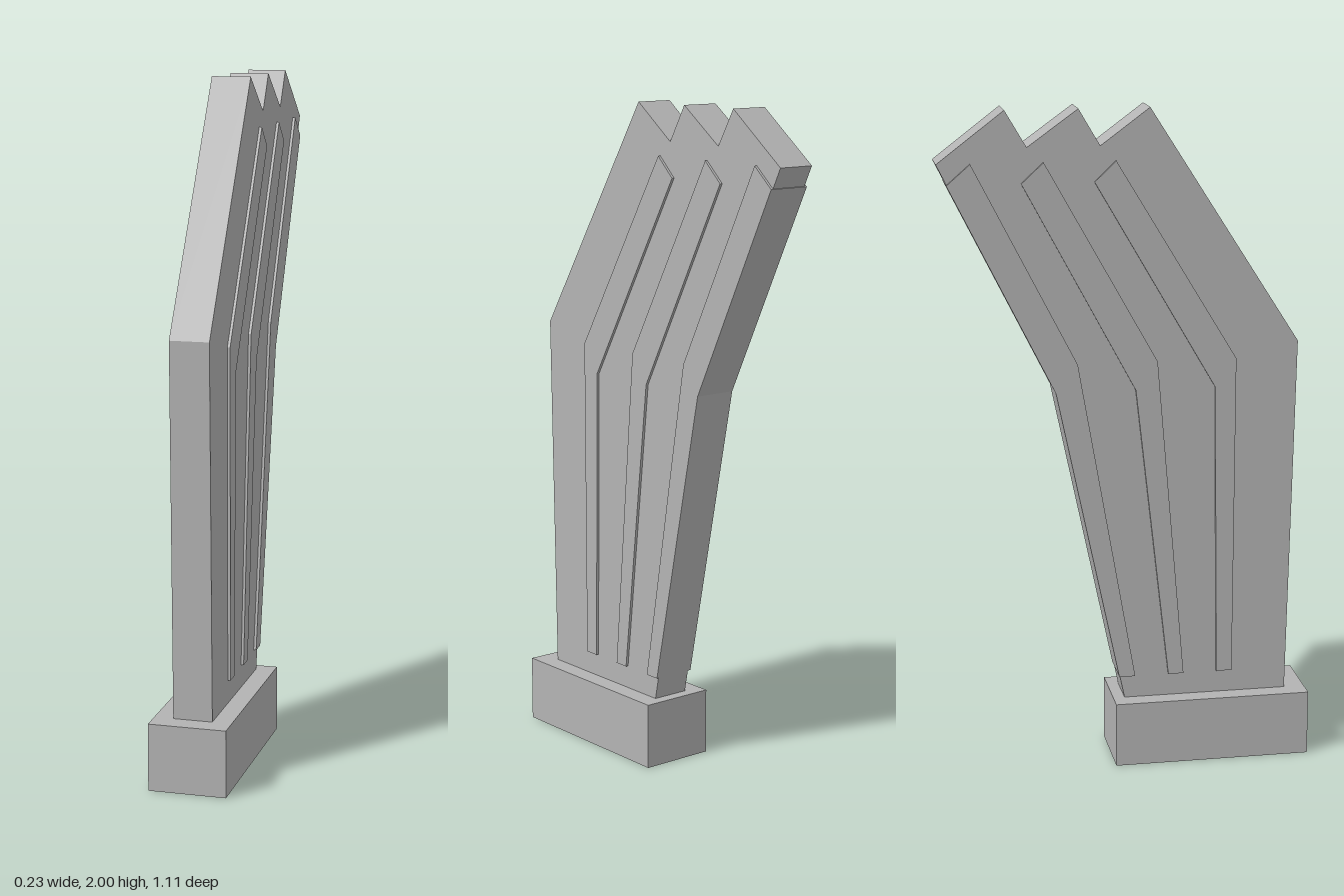
import * as THREE from 'three';

// Extrude a side outline of [z, y] points to a slab centred on x = 0
function slab(name, points, width, material) {
  const shape = new THREE.Shape(points.map(([z, y]) => new THREE.Vector2(z, y)));
  const geometry = new THREE.ExtrudeGeometry(shape, { depth: width, bevelEnabled: false });
  geometry.translate(0, 0, -width / 2);
  geometry.rotateY(-Math.PI / 2);
  const mesh = new THREE.Mesh(geometry, material);
  mesh.name = name;
  return mesh;
}

export function createModel() {
  const model = new THREE.Group();
  model.name = 'bentFinnedSlab';
  const grey = new THREE.MeshStandardMaterial({ color: 0xb3b3b3 });
  grey.name = 'grey';

  // Base block
  const base = new THREE.Mesh(new THREE.BoxGeometry(0.23, 0.2, 0.6), grey);
  base.name = 'base';
  base.position.set(0, 0.1, 0.255);
  model.add(base);

  // Bent body with a stepped top
  model.add(slab('body', [
    [0.492, 0.2], [0.513, 1.3], [0.065, 2], [-0.08, 1.893], [-0.143, 2],
    [-0.292, 1.893], [-0.355, 2], [-0.552, 1.85], [-0.212, 1.17], [-0.01, 0.2],
  ], 0.116, grey));

  // Raised ribs, each listed as z at: bottom front, bottom back, bend back, top back, top front, bend front
  const heights = [0.27, 0.27, 1.17, 1.79, 1.85, 1.255];
  const ribs = {
    frontRib: [0.323, 0.275, 0.262, -0.098, -0.035, 0.325],
    middleRib: [0.172, 0.125, 0.023, -0.31, -0.245, 0.088],
    backRib: [0.022, -0.027, -0.215, -0.524, -0.455, -0.15],
  };
  for (const [name, zs] of Object.entries(ribs)) {
    model.add(slab(name, zs.map((z, i) => [z, heights[i]]), 0.132, grey));
  }
  return model;
}
